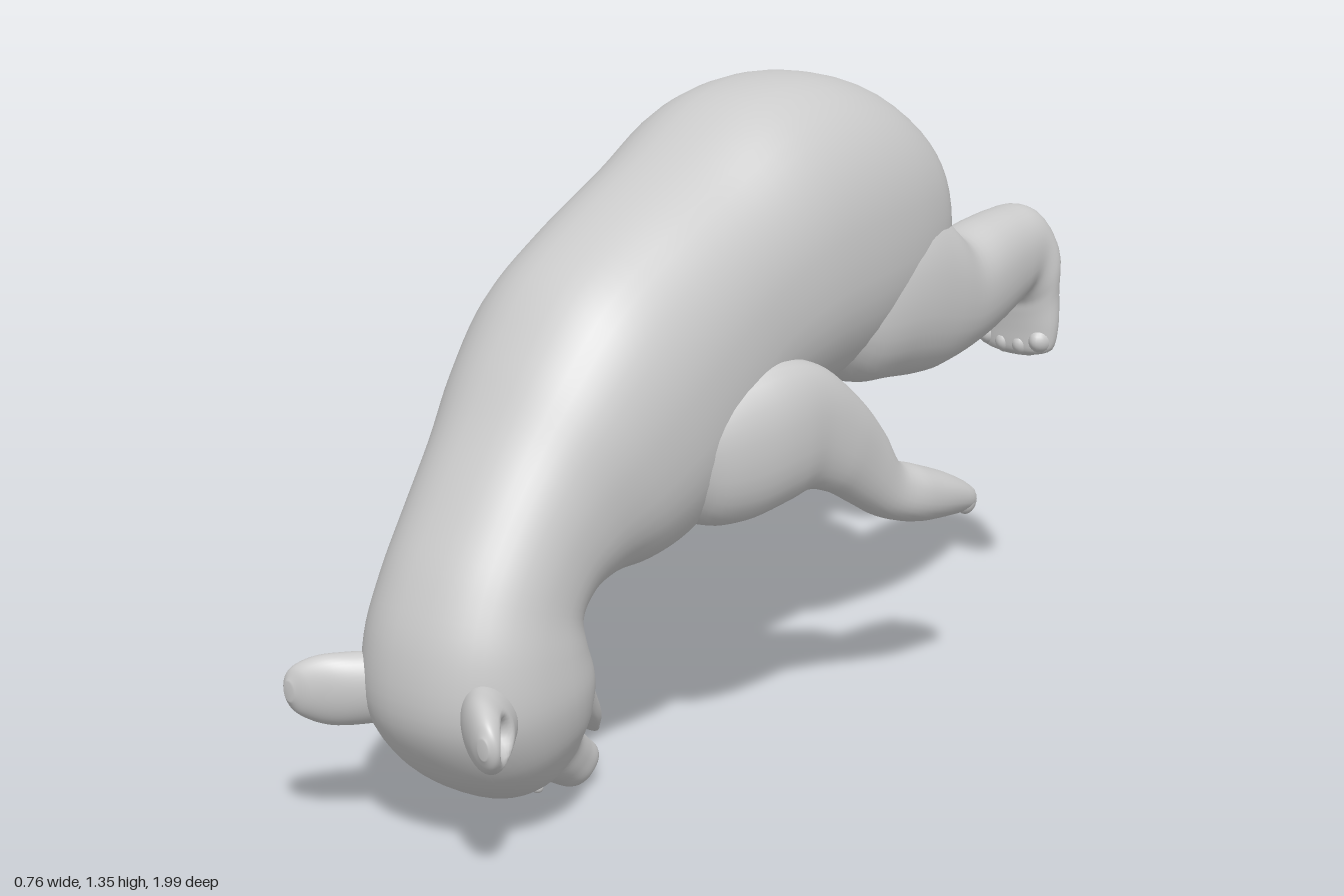
import * as THREE from 'three';

const material = new THREE.MeshStandardMaterial({ color: 0xcccccc });
const smooth = THREE.MathUtils.smoothstep;

// Closed loft through rows [x, halfWidth, topZ, topY, bottomZ, bottomY].
// Power below 1 squares the section; taper narrows its top and widens its bottom.
function loft(rows, { steps = 5, sides = 32, power = 0.9, taper = 0 } = {}) {
  const tops = new THREE.CatmullRomCurve3(rows.map(r => new THREE.Vector3(r[0], r[3], r[2])));
  const bottoms = new THREE.CatmullRomCurve3(rows.map(r => new THREE.Vector3(r[1], r[5], r[4])));
  const n = (rows.length - 1) * steps;
  const pos = [], index = [], centres = [];
  const bend = v => Math.sign(v) * Math.abs(v) ** power;
  let turn = 0, lastMid = null;
  for (let i = 0; i <= n; i++) {
    const t = tops.getPoint(i / n), b = bottoms.getPoint(i / n);
    const my = (t.y + b.y) / 2, mz = (t.z + b.z) / 2;
    const ny = (t.y - b.y) / 2, nz = (t.z - b.z) / 2;
    if (lastMid) turn += ny * (mz - lastMid[1]) - nz * (my - lastMid[0]);
    lastMid = [my, mz];
    centres.push([t.x, my, mz]);
    for (let j = 0; j < sides; j++) {
      const a = j / sides * Math.PI * 2, s = bend(Math.sin(a));
      const c = bend(Math.cos(a)) * (1 - taper * s);
      pos.push(t.x + b.x * c, my + ny * s, mz + nz * s);
    }
  }
  const face = (a, b, c) => turn > 0 ? index.push(a, b, c) : index.push(a, c, b);
  const first = pos.length / 3, last = first + 1;
  pos.push(...centres[0], ...centres[n]);
  for (let j = 0; j < sides; j++) {
    const k = (j + 1) % sides;
    for (let i = 0; i < n; i++) {
      const a = i * sides + j, b = i * sides + k;
      face(a, b, a + sides);
      face(b, b + sides, a + sides);
    }
    face(first, k, j);
    face(last, n * sides + j, n * sides + k);
  }
  const g = new THREE.BufferGeometry();
  g.setAttribute('position', new THREE.Float32BufferAttribute(pos, 3));
  g.setIndex(index);
  g.computeVertexNormals();
  return g;
}

function add(parent, name, geometry) {
  const mesh = new THREE.Mesh(geometry, material);
  mesh.name = name;
  parent.add(mesh);
}

function ball(parent, name, x, y, z, sx, sy, sz) {
  add(parent, name, new THREE.SphereGeometry(1, 20, 14).scale(sx, sy, sz).translate(x, y, z));
}

// Ear sweeping out of the crown, with a hollow pressed into its outer side
function earGeometry(side) {
  const g = loft([
    [side * 0.12, 0.07, 0.84, 0.38, 0.82, 0.24],
    [side * 0.165, 0.065, 0.90, 0.385, 0.88, 0.235],
    [side * 0.205, 0.055, 0.95, 0.382, 0.935, 0.24],
    [side * 0.235, 0.035, 0.982, 0.362, 0.975, 0.265],
    [side * 0.245, 0.012, 0.995, 0.335, 0.993, 0.295],
  ], { steps: 8, sides: 48, power: 1 });
  const p = g.attributes.position;
  for (let i = 0; i < p.count; i++) {
    const out = side * p.getX(i);
    const d = Math.hypot(p.getY(i) - 0.312, p.getZ(i) - 0.925);
    if (out > 0.2) p.setX(i, side * (out - 0.045 * (1 - smooth(d, 0.01, 0.05))));
  }
  g.computeVertexNormals();
  return g;
}

export function createModel() {
  const bear = new THREE.Group();
  bear.name = 'bear';

  // Rump, back, neck, head and upper muzzle in one sweep
  add(bear, 'bodyAndHead', loft([
    [0, 0.08, -0.59, 1.17, -0.605, 1.01],
    [0, 0.17, -0.58, 1.215, -0.605, 0.92],
    [0, 0.235, -0.53, 1.26, -0.575, 0.84],
    [0, 0.272, -0.42, 1.325, -0.46, 0.76],
    [0, 0.29, -0.25, 1.36, -0.28, 0.71],
    [0, 0.288, -0.05, 1.34, -0.12, 0.69],
    [0, 0.272, 0.15, 1.245, 0.02, 0.66],
    [0, 0.268, 0.35, 1.155, 0.13, 0.57],
    [0, 0.264, 0.51, 1.06, 0.25, 0.49],
    [0, 0.243, 0.62, 0.94, 0.35, 0.465],
    [0, 0.213, 0.71, 0.81, 0.45, 0.465],
    [0, 0.20, 0.80, 0.68, 0.52, 0.45],
    [0, 0.20, 0.88, 0.55, 0.55, 0.42],
    [0, 0.212, 0.93, 0.42, 0.54, 0.38],
    [0, 0.217, 0.935, 0.28, 0.52, 0.33],
    [0, 0.197, 0.87, 0.17, 0.52, 0.27],
    [0, 0.158, 0.78, 0.10, 0.52, 0.225],
    [0, 0.115, 0.69, 0.066, 0.495, 0.19],
    [0, 0.076, 0.61, 0.07, 0.465, 0.152],
    [0, 0.06, 0.53, 0.04, 0.43, 0.114],
    [0, 0.048, 0.47, 0.01, 0.398, 0.083],
    [0, 0.02, 0.445, 0.012, 0.40, 0.06],
  ], { sides: 48, power: 0.87, taper: 0.04 }));

  add(bear, 'lowerJaw', loft([
    [0, 0.13, 0.66, 0.28, 0.56, 0.40],
    [0, 0.11, 0.58, 0.24, 0.505, 0.335],
    [0, 0.08, 0.51, 0.202, 0.447, 0.24],
    [0, 0.054, 0.438, 0.14, 0.405, 0.17],
    [0, 0.024, 0.392, 0.105, 0.385, 0.125],
  ], { power: 0.8 }));

  ball(bear, 'nose', 0, 0.036, 0.437, 0.036, 0.028, 0.03);

  // Short hooked tail
  add(bear, 'tail', loft([
    [0, 0.08, -0.46, 1.28, -0.50, 1.18],
    [0, 0.05, -0.545, 1.258, -0.565, 1.19],
    [0, 0.026, -0.588, 1.236, -0.59, 1.205],
    [0, 0.01, -0.60, 1.222, -0.597, 1.21],
  ]));

  for (const side of [1, -1]) {
    const label = side > 0 ? 'left' : 'right';
    // Right arm hangs lower and right leg kicks higher than the left
    const armDrop = z => side > 0 ? 0 : -0.085 * smooth(-z, -0.1, 0.28);
    const legLift = z => side > 0 ? 0 : 0.07 * smooth(-z, 0.55, 0.88);
    const pose = (rows, shift) => rows.map(([x, w, tz, ty, bz, by]) =>
      [x * side, w, tz, ty + shift(tz), bz, by + shift(bz)]);

    add(bear, label + 'FrontLeg', loft(pose([
      [0.15, 0.07, 0.40, 0.79, 0.34, 0.60],
      [0.18, 0.095, 0.31, 0.82, 0.28, 0.55],
      [0.21, 0.098, 0.22, 0.845, 0.20, 0.54],
      [0.245, 0.085, 0.12, 0.86, 0.10, 0.56],
      [0.265, 0.068, 0.00, 0.835, 0.03, 0.575],
      [0.28, 0.058, -0.12, 0.745, -0.04, 0.555],
      [0.285, 0.053, -0.20, 0.66, -0.13, 0.505],
      [0.29, 0.055, -0.25, 0.58, -0.21, 0.46],
      [0.30, 0.070, -0.31, 0.555, -0.30, 0.43],
      [0.303, 0.076, -0.40, 0.52, -0.40, 0.418],
      [0.303, 0.068, -0.465, 0.487, -0.465, 0.415],
      [0.303, 0.04, -0.49, 0.467, -0.488, 0.425],
    ], armDrop)));

    add(bear, label + 'HindLeg', loft(pose([
      [0.13, 0.10, -0.18, 1.02, -0.16, 0.79],
      [0.15, 0.125, -0.29, 1.07, -0.26, 0.72],
      [0.165, 0.13, -0.42, 1.09, -0.38, 0.705],
      [0.175, 0.122, -0.54, 1.04, -0.50, 0.695],
      [0.18, 0.11, -0.63, 0.975, -0.61, 0.71],
      [0.18, 0.098, -0.74, 0.985, -0.74, 0.735],
      [0.175, 0.09, -0.85, 0.99, -0.84, 0.765],
      [0.17, 0.09, -0.945, 0.98, -0.88, 0.78],
      [0.17, 0.098, -0.99, 0.92, -0.90, 0.765],
      [0.165, 0.10, -0.997, 0.82, -0.905, 0.74],
      [0.165, 0.10, -0.997, 0.72, -0.91, 0.70],
      [0.165, 0.088, -0.985, 0.655, -0.915, 0.655],
      [0.165, 0.04, -0.965, 0.637, -0.935, 0.637],
    ], legLift)));

    // Toes
    for (let i = 0; i < 4; i++) {
      const u = i - 1.5;
      ball(bear, label + 'FrontToe', side * (0.303 + u * 0.034),
        0.45 + armDrop(-0.48), -0.466 + 0.008 * u * u, 0.021, 0.032, 0.028);
      ball(bear, label + 'HindToe', side * (0.165 + u * 0.044),
        0.665 + legLift(-0.95) + 0.006 * u * u, -0.945, 0.026, 0.03, 0.038);
    }

    add(bear, label + 'Ear', earGeometry(side));
    ball(bear, label + 'Eye', side * 0.085, 0.09, 0.655, 0.012, 0.012, 0.012);
  }
  return bear;
}
